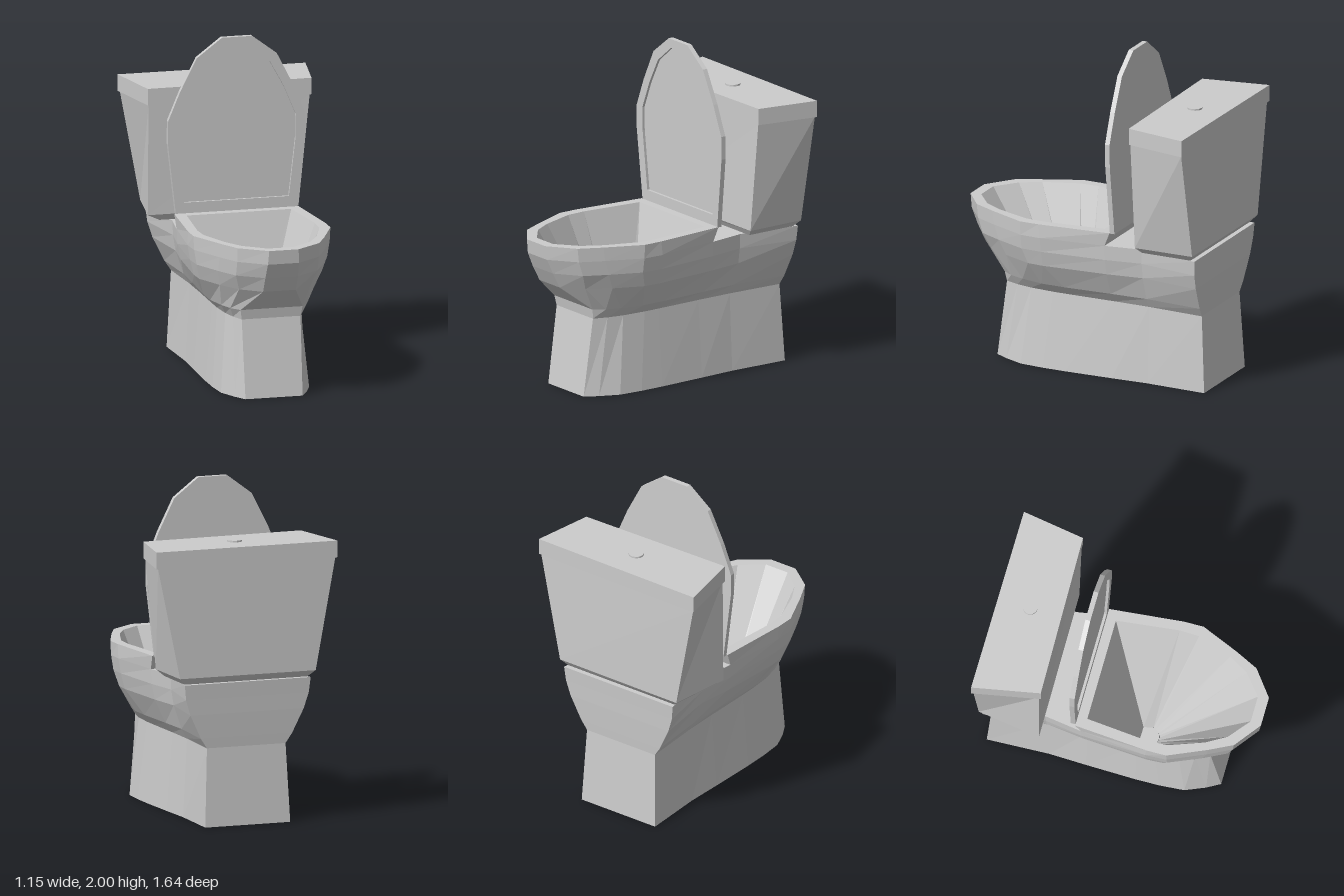
import * as THREE from 'three';

const CX = -0.01; // shared centre line of bowl, base and seat lid

// Closed outline from one half: [u, v] pairs are mirrored in x, place() turns them into points
function outline(half, place) {
  const pts = half.map(([x, v]) => place(CX + x, v));
  const mirrored = half.map(([x, v]) => place(CX - x, v)).reverse();
  return [...pts, ...mirrored];
}
const level = (y, half) => outline(half, (x, z) => [x, y, z]);

// Skin a stack of closed outlines, with optional flat caps at either end
function loft(loops, capStart = false, capEnd = false) {
  const pos = [];
  const tri = (a, b, c) => pos.push(...a, ...b, ...c);
  for (let k = 0; k + 1 < loops.length; k++) {
    const lo = loops[k], hi = loops[k + 1], n = lo.length;
    for (let i = 0; i < n; i++) {
      const j = (i + 1) % n;
      tri(lo[i], lo[j], hi[j]);
      tri(lo[i], hi[j], hi[i]);
    }
  }
  const cap = (loop, flip) => {
    const mid = [0, 1, 2].map(a => loop.reduce((s, p) => s + p[a], 0) / loop.length);
    loop.forEach((p, i) => {
      const q = loop[(i + 1) % loop.length];
      if (flip) tri(mid, q, p); else tri(mid, p, q);
    });
  };
  if (capStart) cap(loops[0], true);
  if (capEnd) cap(loops[loops.length - 1], false);
  const g = new THREE.BufferGeometry();
  g.setAttribute('position', new THREE.Float32BufferAttribute(pos, 3));
  g.computeVertexNormals();
  return g;
}

export function createModel() {
  const model = new THREE.Group();
  model.name = 'toilet';
  const ceramic = new THREE.MeshStandardMaterial({ color: 0xcccccc, side: THREE.DoubleSide, flatShading: true });
  ceramic.name = 'greyCeramic';
  const add = (name, geometry) => {
    const mesh = new THREE.Mesh(geometry, ceramic);
    mesh.name = name;
    model.add(mesh);
    return mesh;
  };

  // Pedestal, open underneath
  const neck = level(0.47, [[.18, .535], [.21, .45], [.23, .35], [.24, .2], [.24, .1], [.235, -.2], [.235, -.43], [.25, -.785]]);
  add('pedestal', loft([
    level(0, [[.175, .6], [.22, .52], [.27, .4], [.28, .25], [.28, .1], [.27, -.2], [.26, -.43], [.27, -.81]]),
    neck,
  ]));

  // Swelling outer body, from the neck up to the deck
  const top = [[.095, .81], [.25, .69], [.32, .55], [.415, .33], [.42, .2], [.375, -.205], [.34, -.43], [.4, -.81]];
  add('bowlBody', loft([
    neck,
    level(0.53, [[.19, .545], [.235, .48], [.265, .39], [.295, .25], [.295, .1], [.28, -.2], [.27, -.43], [.29, -.79]]),
    level(0.675, [[.1, .72], [.22, .62], [.3, .48], [.375, .3], [.38, .2], [.35, -.205], [.32, -.43], [.36, -.8]]),
    level(0.77, [[.1, .77], [.25, .66], [.32, .52], [.4, .33], [.405, .2], [.37, -.205], [.335, -.43], [.39, -.805]]),
    level(0.86, top),
  ]));

  // Flat deck that carries the tank
  add('deck', loft([level(0.86, top.slice(5))], false, true));

  // Raised rim, then the funnel down to a round drain
  const inner = level(0.945, [[.08, .755], [.21, .65], [.28, .53], [.355, .32], [.36, .2], [.32, -.18]]);
  const drain = inner.map(([x, , z]) => {
    const a = Math.atan2(z - 0.11, x + 0.025);
    return [-0.025 + 0.065 * Math.cos(a), 0.04, 0.11 + 0.065 * Math.sin(a)];
  });
  add('rim', loft([
    level(0.86, top.slice(0, 6)),
    level(0.945, [[.09, .82], [.25, .7], [.32, .56], [.42, .33], [.42, .21], [.38, -.24]]),
    inner,
  ]));
  add('bowlFunnel', loft([inner, drain], false, false));
  const disc = add('drain', new THREE.CircleGeometry(0.065, 16));
  disc.rotation.x = -Math.PI / 2;
  disc.position.set(-0.025, 0.041, 0.11);

  // Upright seat lid with a recessed panel, leaning very slightly
  const lidLoop = (half, dz) => outline(half, (x, y) => [x, y, -0.268 + 0.013 * (y - 0.94) + dz]);
  const lidOuter = [[.37, .94], [.42, 1.37], [.42, 1.51], [.345, 1.69], [.245, 1.885], [.092, 2]];
  const lidInner = [[.322, 1.01], [.362, 1.37], [.362, 1.51], [.29, 1.68], [.202, 1.84], [.07, 1.945]];
  add('seatLid', loft([
    lidLoop(lidOuter, 0), lidLoop(lidOuter, 0.03), lidLoop(lidInner, 0.03), lidLoop(lidInner, 0.014),
  ], true, true));

  // Tank: flares upwards and towards the back, chamfered at the bottom
  const quad = (y, fr, br, bl, fl) => [fr, br, bl, fl].map(([x, z]) => [x, y, z]);
  add('tank', loft([
    quad(0.86, [.38, -.46], [.38, -.78], [-.4, -.78], [-.42, -.46]),
    quad(0.9, [.425, -.435], [.42, -.81], [-.44, -.815], [-.5, -.43]),
    quad(1.57, [.495, -.44], [.56, -.808], [-.565, -.815], [-.495, -.43]),
  ], true, false));

  const lidPlan = [[.505, -.435], [.572, -.815], [-.576, -.825], [-.503, -.418]];
  add('tankLid', loft([quad(1.57, ...lidPlan), quad(1.67, ...lidPlan)], true, true));

  // Flush button
  add('flushButton', new THREE.CylinderGeometry(0.045, 0.045, 0.02, 12)).position.set(0, 1.67, -0.62);

  return model;
}
